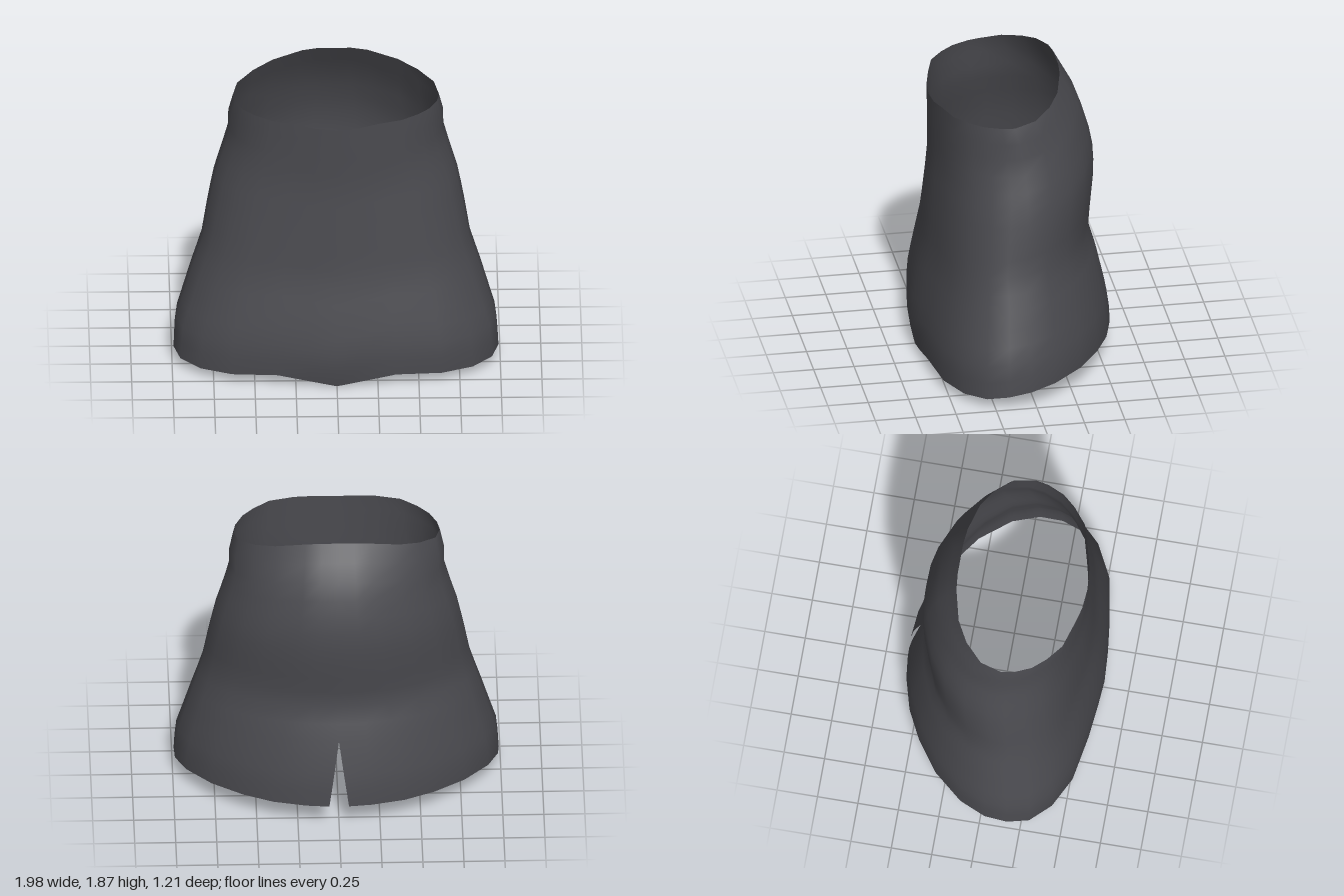
import * as THREE from 'three';
import { mergeVertices } from 'three/addons/utils/BufferGeometryUtils.js';

const ROWS = 16;

// Hem and waistline outlines of one half, from back centre to front centre: x, y, z
const HEM = [
  [0.06, 0.15, -0.605], [0.2, 0.15, -0.59], [0.4, 0.145, -0.535], [0.58, 0.14, -0.445],
  [0.77, 0.135, -0.31], [0.92, 0.12, -0.13], [0.985, 0.1, 0.03], [0.99, 0.08, 0.17],
  [0.95, 0.06, 0.3], [0.83, 0.05, 0.42], [0.64, 0.055, 0.515], [0.36, 0.07, 0.565],
  [0.17, 0.035, 0.578], [0, 0, 0.58],
];
const WAIST = [
  [0, 1.87, -0.29], [0.1, 1.87, -0.29], [0.2, 1.86, -0.28], [0.38, 1.82, -0.235],
  [0.5, 1.785, -0.165], [0.6, 1.75, -0.06], [0.63, 1.725, 0.07], [0.615, 1.722, 0.15],
  [0.57, 1.72, 0.25], [0.5, 1.72, 0.33], [0.4, 1.72, 0.41], [0.25, 1.715, 0.455],
  [0.13, 1.7, 0.485], [0, 1.69, 0.495],
];

// Vertical profiles: [height, value]
const WIDTH = [[0.1, 1], [0.27, 0.99], [0.4, 0.95], [0.6, 0.89], [0.8, 0.825], [1, 0.79],
  [1.2, 0.75], [1.4, 0.69], [1.53, 0.655], [1.63, 0.655], [1.72, 0.63]];
const BACK = [[0.15, -0.603], [0.2, -0.605], [0.35, -0.585], [0.6, -0.53], [0.8, -0.47], [1, -0.49],
  [1.15, -0.505], [1.3, -0.505], [1.48, -0.47], [1.65, -0.41], [1.87, -0.29]];
const FRONT = [[0, 0.58], [0.08, 0.6], [0.2, 0.605], [0.4, 0.58], [0.7, 0.53], [1, 0.51],
  [1.3, 0.49], [1.53, 0.495], [1.7, 0.497]];

function sample(profile, y) {
  if (y <= profile[0][0]) return profile[0][1];
  for (let i = 1; i < profile.length; i++) {
    const [y0, v0] = profile[i - 1], [y1, v1] = profile[i];
    if (y <= y1) return THREE.MathUtils.mapLinear(y, y0, y1, v0, v1);
  }
  return profile[profile.length - 1][1];
}

// Position of an outline point relative to the profiles at its own height
function relative([x, y, z]) {
  const back = sample(BACK, y);
  return [x / sample(WIDTH, y), (z - back) / (sample(FRONT, y) - back)];
}

function skirtPoint(col, s) {
  const { lerp } = THREE.MathUtils;
  const [hx, hz] = relative(HEM[col]), [wx, wz] = relative(WAIST[col]);
  const y = lerp(HEM[col][1], WAIST[col][1], s);
  let x = lerp(hx, wx, s) * sample(WIDTH, y);
  // Back slit closes to the centre seam
  if (col === 0) x = Math.max(0, 0.06 * (0.58 - y) / 0.43);
  if (x < 1e-6) x = 0;
  return [x, y, lerp(sample(BACK, y), sample(FRONT, y), lerp(hz, wz, s))];
}

function skirtGeometry() {
  const last = HEM.length - 1, cols = last * 2 + 1;
  const positions = [], index = [];
  for (let r = 0; r <= ROWS; r++) {
    for (let c = 0; c < cols; c++) {
      const [x, y, z] = skirtPoint(c <= last ? c : 2 * last - c, r / ROWS);
      positions.push(c <= last ? x : -x, y, z);
    }
  }
  for (let r = 0; r < ROWS; r++) {
    for (let c = 0; c < cols - 1; c++) {
      const a = r * cols + c, b = a + 1, d = a + cols, e = d + 1;
      index.push(a, d, b, b, d, e);
    }
  }
  const geometry = new THREE.BufferGeometry();
  geometry.setAttribute('position', new THREE.Float32BufferAttribute(positions, 3));
  geometry.setIndex(index);
  // Weld the back seam above the slit
  const welded = mergeVertices(geometry, 1e-4);
  welded.computeVertexNormals();
  return welded;
}

export function createModel() {
  const group = new THREE.Group();
  group.name = 'skirt';
  const cloth = new THREE.MeshStandardMaterial({ color: 0x4a4a4f, side: THREE.DoubleSide });
  cloth.name = 'charcoal cloth';
  const body = new THREE.Mesh(skirtGeometry(), cloth);
  body.name = 'skirtBody';
  group.add(body);
  return group;
}
